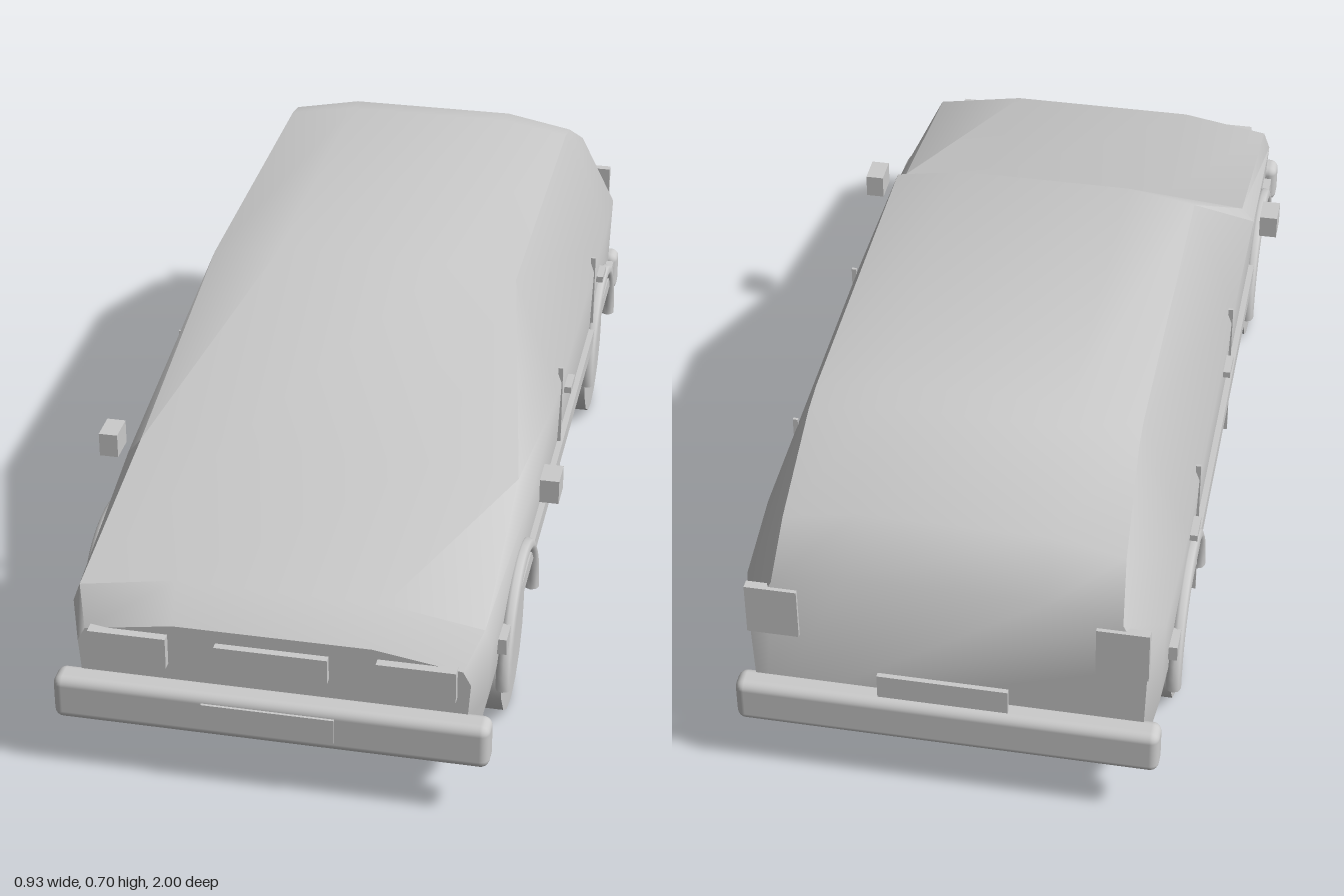
import * as THREE from 'three';
import { toCreasedNormals } from 'three/addons/utils/BufferGeometryUtils.js';
import { RoundedBoxGeometry } from 'three/addons/geometries/RoundedBoxGeometry.js';

const grey = new THREE.MeshStandardMaterial({ color: 0xcccccc });

function add(group, name, geometry, x = 0, y = 0, z = 0) {
  const mesh = new THREE.Mesh(geometry, grey);
  mesh.name = name;
  mesh.position.set(x, y, z);
  group.add(mesh);
  return mesh;
}

// Box given by its limits on each axis
function box(group, name, [x0, x1], [y0, y1], [z0, z1]) {
  return add(group, name, new THREE.BoxGeometry(x1 - x0, y1 - y0, z1 - z0),
    (x0 + x1) / 2, (y0 + y1) / 2, (z0 + z1) / 2);
}

// Body stations, front to rear: z, then the half section from floor to roof as [x, y]
const stations = [
  [0.95, [0.36, 0.115], [0.37, 0.2], [0.375, 0.27], [0.36, 0.298], [0.19, 0.325]],
  [0.88, [0.375, 0.1], [0.395, 0.2], [0.402, 0.31], [0.388, 0.348], [0.2, 0.38]],
  [0.46, [0.38, 0.1], [0.402, 0.2], [0.41, 0.39], [0.383, 0.422], [0.2, 0.435]],
  [0.1, [0.38, 0.1], [0.402, 0.2], [0.41, 0.415], [0.315, 0.672], [0.175, 0.696]],
  [-0.62, [0.38, 0.1], [0.402, 0.2], [0.41, 0.415], [0.315, 0.672], [0.175, 0.696]],
  [-0.68, [0.38, 0.1], [0.402, 0.2], [0.41, 0.415], [0.316, 0.66], [0.175, 0.687]],
  [-0.87, [0.375, 0.1], [0.395, 0.2], [0.402, 0.4], [0.324, 0.555], [0.18, 0.583]],
  [-0.95, [0.36, 0.115], [0.375, 0.2], [0.38, 0.36], [0.332, 0.46], [0.19, 0.492]],
];

// Lofted shell with closed nose and tail
function bodyGeometry() {
  const positions = [];
  const index = [];
  const n = 10;
  for (const [z, ...half] of stations) {
    const mirrored = half.slice().reverse().map(([x, y]) => [-x, y]);
    for (const [x, y] of [...half, ...mirrored]) positions.push(x, y, z);
  }
  for (let s = 0; s < stations.length - 1; s++) {
    for (let i = 0; i < n; i++) {
      const j = (i + 1) % n;
      const a = s * n, b = a + n;
      index.push(a + i, b + i, a + j, a + j, b + i, b + j);
    }
  }
  const last = (stations.length - 1) * n;
  for (let i = 1; i < n - 1; i++) {
    index.push(0, i, i + 1);
    index.push(last, last + i + 1, last + i);
  }
  const geometry = new THREE.BufferGeometry();
  geometry.setAttribute('position', new THREE.Float32BufferAttribute(positions, 3));
  geometry.setIndex(index);
  return toCreasedNormals(geometry, 0.75);
}

export function createModel() {
  const car = new THREE.Group();
  car.name = 'car';
  add(car, 'body', bodyGeometry());

  // Bumpers, grille and plates
  add(car, 'frontBumper', new RoundedBoxGeometry(0.835, 0.092, 0.058, 3, 0.018), 0, 0.16, 0.966);
  add(car, 'rearBumper', new RoundedBoxGeometry(0.82, 0.095, 0.055, 3, 0.018), 0, 0.172, -0.963);
  box(car, 'grille', [-0.108, 0.108], [0.247, 0.298], [0.94, 0.965]);
  box(car, 'frontPlate', [-0.127, 0.127], [0.138, 0.19], [0.985, 1]);
  box(car, 'rearPlate', [-0.125, 0.125], [0.247, 0.3], [-1, -0.99]);

  const wheelGeometry = toCreasedNormals(
    new THREE.CylinderGeometry(0.145, 0.145, 0.09, 16).rotateZ(Math.PI / 2), 0.6);
  const archGeometry = new THREE.TorusGeometry(0.18, 0.015, 8, 20, Math.PI).rotateY(Math.PI / 2);

  for (const side of [1, -1]) {
    const name = side > 0 ? 'left' : 'right';
    const span = (a, b) => (side > 0 ? [a, b] : [-b, -a]);

    // Wheels and arch trims
    for (const end of [1, -1]) {
      const place = name + (end > 0 ? 'Front' : 'Rear');
      add(car, place + 'Wheel', wheelGeometry, side * 0.355, 0.145, end * 0.6);
      add(car, place + 'Arch', archGeometry, side * 0.41, 0.15, end * 0.6);
    }

    // Lamps
    box(car, name + 'Headlight', span(0.2, 0.35), [0.24, 0.305], [0.94, 0.968]);
    box(car, name + 'TailLight', span(0.283, 0.383), [0.335, 0.447], [-0.958, -0.94]);

    // Mirror and side trim
    box(car, name + 'Mirror', span(0.427, 0.465), [0.385, 0.435], [0.415, 0.477]);
    box(car, name + 'SideTrim', span(0.395, 0.417), [0.242, 0.275], [-0.8, 0.8]);

    // Door seams and handles
    for (const z of [0.05, -0.465]) {
      box(car, name + 'DoorSeam', span(0.402, 0.412), [0.125, 0.45], [z - 0.003, z + 0.003]);
    }
    for (const z of [-0.037, -0.555]) {
      box(car, name + 'DoorHandle', span(0.405, 0.423), [0.358, 0.372], [z - 0.029, z + 0.029]);
    }
  }
  return car;
}
